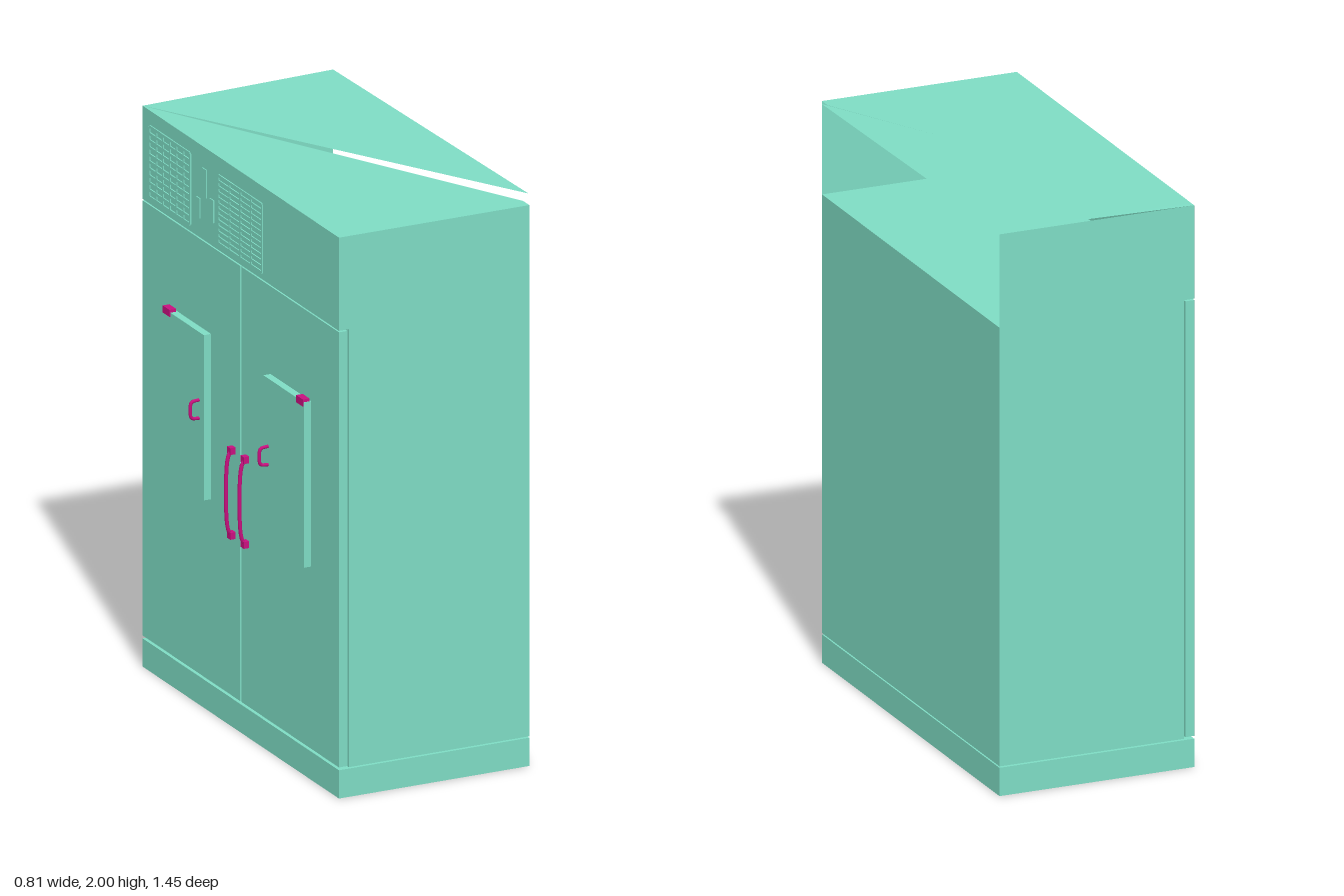
import * as THREE from 'three';

const shell = new THREE.MeshStandardMaterial({ color: 0x7edcc4, side: THREE.DoubleSide });
const accent = new THREE.MeshStandardMaterial({ color: 0xc8107f });

export function createModel() {
  const model = new THREE.Group();
  const X0 = -0.34, X1 = 0.37, Z = 0.725, Y1 = 1.655, TOP = 1.985;

  const add = (name, geometry, material = shell) => {
    const mesh = new THREE.Mesh(geometry, material);
    mesh.name = name;
    model.add(mesh);
    return mesh;
  };
  // box given by its minimum and maximum corners
  const box = (name, a, b, material) => {
    const mesh = add(name, new THREE.BoxGeometry(b[0] - a[0], b[1] - a[1], b[2] - a[2]), material);
    mesh.position.set((a[0] + b[0]) / 2, (a[1] + b[1]) / 2, (a[2] + b[2]) / 2);
    return mesh;
  };
  // thin flat sheet through three or four corners
  const sheet = (name, ...corners) => {
    const g = new THREE.BufferGeometry();
    g.setAttribute('position', new THREE.Float32BufferAttribute(corners.flat(), 3));
    g.setIndex(corners.length === 4 ? [0, 1, 2, 0, 2, 3] : [0, 1, 2]);
    g.computeVertexNormals();
    return add(name, g);
  };
  const tube = (name, points, radius) => add(name, new THREE.TubeGeometry(
    new THREE.CatmullRomCurve3(points.map(p => new THREE.Vector3(...p))), 20, radius, 8), accent);

  // plinth: hollow frame, open underneath
  const ring = new THREE.Shape([[X0, -Z], [X1, -Z], [X1, Z], [X0, Z]].map(p => new THREE.Vector2(...p)));
  const t = 0.06;
  ring.holes.push(new THREE.Path([[X0 + t, -Z + t], [X0 + t, Z - t], [X1 - t, Z - t], [X1 - t, -Z + t]]
    .map(p => new THREE.Vector2(...p))));
  const plinth = add('plinth', new THREE.ExtrudeGeometry(ring, { depth: 0.1, bevelEnabled: false }));
  plinth.rotation.x = -Math.PI / 2;

  // cabinet
  box('cabinet', [-0.303, 0.105, -Z], [X1, Y1, Z]);

  // head housing: three walls, open on the +x side
  sheet('headDoorSideWall', [X0, Y1, -Z], [X0, Y1, Z], [X0, TOP, Z], [X0, TOP, -Z]);
  sheet('headFrontWall', [X0, Y1, Z], [X1, Y1, Z], [X1, TOP, Z], [X0, TOP, Z]);
  sheet('headBackWall', [X1, Y1, -Z], [X0, Y1, -Z], [X0, TOP, -Z], [X1, TOP, -Z]);
  sheet('headFloor', [X0, Y1, -Z], [X0, Y1, Z], [X1, Y1, Z], [X1, Y1, -Z]);

  // roof: fixed half and a slightly lifted half, with a narrow diagonal gap
  sheet('roofFixedHalf', [X0, TOP, -Z], [X0, TOP, Z], [X1, TOP, Z], [X1, TOP, 0.68]);
  sheet('roofLiftedHalf', [-0.33, TOP + 0.002, -0.7], [0.4, 2, 0.66], [X1, 1.998, -Z], [X0, TOP, -Z]);

  // doors with hatches, hinges and handles, mirrored in z
  for (const s of [-1, 1]) {
    const span = (name, x0, x1, y0, y1, za, zb, material) =>
      box(name, [x0, y0, Math.min(s * za, s * zb)], [x1, y1, Math.max(s * za, s * zb)], material);
    span('door', X0, -0.308, 0.11, 1.65, 0.005, Z);
    span('hatch', -0.367, X0, 0.755, 1.34, 0.22, 0.52);
    span('hatchHinge', -0.37, -0.345, 1.325, 1.35, 0.467, 0.518, accent);

    tube('doorHandle', [[-0.343, 0.68, s * 0.05], [-0.36, 0.70, s * 0.05], [-0.37, 0.83, s * 0.05],
      [-0.36, 0.97, s * 0.05], [-0.343, 0.99, s * 0.05]], 0.007);
    for (const y of [0.685, 0.985])
      span('doorHandleFoot', -0.36, X0, y - 0.012, y + 0.012, 0.038, 0.062, accent);

    tube('hatchHandle', [[-0.367, 1.035, s * 0.255], [-0.395, 1.04, s * 0.255], [-0.4, 1.067, s * 0.255],
      [-0.395, 1.095, s * 0.255], [-0.367, 1.1, s * 0.255]], 0.006);
  }

  // vent grilles on the head: frame plus crossing slats
  const grille = (z0, z1, y0, y1, rows, cols) => {
    const xa = X0 - 0.004, xb = X0;
    for (let i = 0; i <= rows; i++) {
      const y = y0 + (y1 - y0) * i / rows;
      box('grilleSlat', [xa, y - 0.005, z0], [xb, y + 0.005, z1]);
    }
    for (let i = 0; i <= cols; i++) {
      const z = z0 + (z1 - z0) * i / cols;
      box('grilleRib', [xa, y0, z - 0.004], [xb, y1, z + 0.004]);
    }
  };
  grille(-0.67, -0.37, 1.68, 1.93, 10, 6);
  grille(-0.16, 0.16, 1.68, 1.92, 12, 4);

  // control strip between the grilles
  for (const [z, y, h] of [[-0.31, 1.76, 0.07], [-0.265, 1.86, 0.1], [-0.21, 1.78, 0.08]])
    box('control', [X0 - 0.004, y - h / 2, z - 0.014], [X0, y + h / 2, z + 0.014]);

  return model;
}
